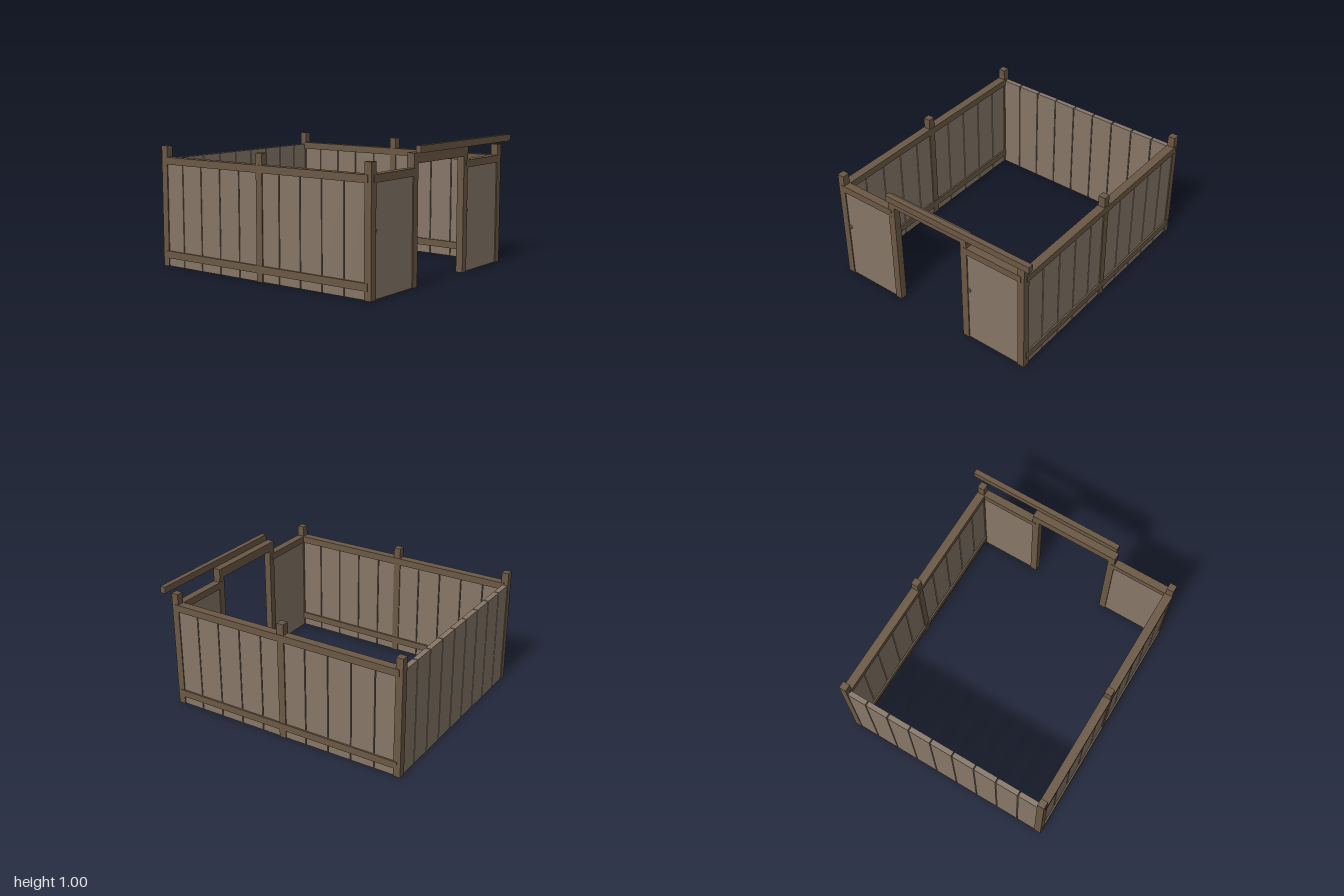
import * as THREE from 'three';

export function createModel() {
  const model = new THREE.Group();
  const timber = new THREE.MeshStandardMaterial({ color: 0x6b5844 });
  timber.name = 'darkTimber';
  const board = new THREE.MeshStandardMaterial({ color: 0x867667 });
  board.name = 'greyBoard';

  // Box given by its extents on each axis
  const box = (name, mat, [x0, x1], [y0, y1], [z0, z1]) => {
    const mesh = new THREE.Mesh(new THREE.BoxGeometry(x1 - x0, y1 - y0, z1 - z0), mat);
    mesh.position.set((x0 + x1) / 2, (y0 + y1) / 2, (z0 + z1) / 2);
    mesh.name = name;
    model.add(mesh);
    return mesh;
  };

  const CX = -0.034;        // middle of the enclosure (the door track overhangs to +x)
  const HALF = 0.828;       // post centre to middle
  const P = 0.028;          // half post width
  const FRONT = 0.93;       // front wall centre line
  const BACK = -0.972;      // back wall centre line
  const GAP = 0.008;
  const PLANK = 0.02;       // half board thickness
  const RAIL = [0.785, 0.84];

  for (const s of [-1, 1]) {
    const x = CX + s * HALF;

    // Corner and middle posts
    for (const z of [FRONT, -0.018, BACK])
      box('wallPost', timber, [x - P, x + P], [0, 0.925], [z - P, z + P]);

    // Side rails, slightly proud of the posts
    box('sideTopRail', timber, [x - 0.033, x + 0.033], RAIL, [BACK, FRONT]);
    box('sideBottomRail', timber, [x - 0.033, x + 0.033], [0.065, 0.12], [BACK, FRONT]);

    // Side planks
    const pitch = 0.1895;
    for (let i = 0; i < 10; i++) {
      const z = 0.92 - i * pitch;
      box('sidePlank', board, [x - PLANK, x + PLANK], [0.002, 0.825],
        [z - pitch + GAP / 2, z - GAP / 2]);
    }

    // Door post, front panel and its top rail
    const d = CX + s * 0.332;
    box('doorPost', timber, [d - P, d + P], [0, 0.875], [FRONT - P, FRONT + P]);
    const span = [Math.min(x, d), Math.max(x, d)];
    box('frontPanel', board, span, [0.002, 0.8], [FRONT - PLANK, FRONT + PLANK]);
    box('frontTopRail', timber, span, RAIL, [FRONT - 0.031, FRONT + 0.031]);

    // Small pull ring beside the post on the -x edge of each panel
    const ring = new THREE.Mesh(new THREE.TorusGeometry(0.018, 0.005, 6, 16), board);
    ring.name = 'panelPull';
    ring.position.set(span[0] + P + 0.002, 0.46, FRONT + PLANK);
    model.add(ring);
  }

  // Back planks
  const pitch = 0.184;
  for (let i = 0; i < 9; i++) {
    const x = -0.86 + i * pitch;
    box('backPlank', board, [x + GAP / 2, x + pitch - GAP / 2], [0.002, 0.825],
      [-0.995, -0.955]);
  }

  // Lintel over the doorway and the sliding-door track in front of it
  box('doorLintel', timber, [-0.392, 0.325], [0.87, 0.945], [FRONT - 0.031, FRONT + 0.03]);
  box('doorTrack', timber, [-0.372, 0.89], [0.945, 0.997], [0.958, 1.0]);

  return model;
}
